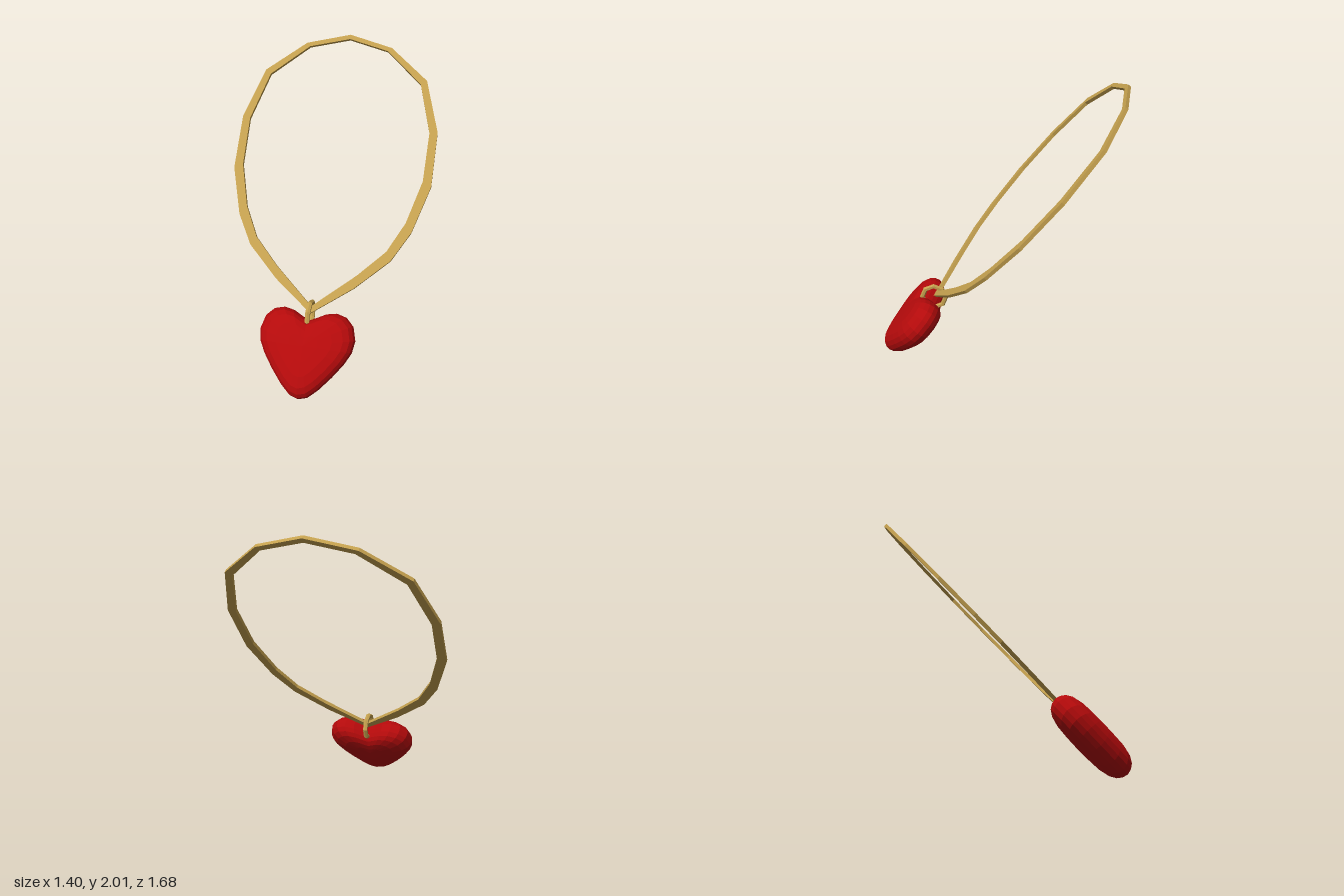
import * as THREE from 'three';

const TILT = 0.693; // lean of the necklace plane, radians

// Full closed counter-clockwise outline from its right half, given top to bottom (both ends on x = 0)
function mirrored(half) {
  const left = half.slice(1, -1).reverse().map(([x, y]) => [-x, y]);
  return [...half, ...left].reverse().map(([x, y]) => new THREE.Vector2(x, y));
}

// Rounded solid: the outline shrunk toward a centre at depths running back to front
function pillow(outline, cy, profile) {
  const n = outline.length, pos = [], idx = [];
  profile.forEach(([k, z]) => outline.forEach((p) => pos.push(p.x * k, cy + (p.y - cy) * k, z)));
  for (let r = 0; r < profile.length - 1; r++) {
    for (let i = 0; i < n; i++) {
      const a = r * n + i, b = r * n + (i + 1) % n;
      idx.push(a, b, a + n, b, b + n, a + n);
    }
  }
  const geo = new THREE.BufferGeometry();
  geo.setAttribute('position', new THREE.Float32BufferAttribute(pos, 3));
  geo.setIndex(idx);
  geo.computeVertexNormals();
  return geo;
}

export function createModel() {
  const gold = new THREE.MeshStandardMaterial({ color: 0xc4a04e, flatShading: true });
  gold.name = 'gold';
  const red = new THREE.MeshStandardMaterial({ color: 0xb40a0b, flatShading: true });
  red.name = 'red';

  const model = new THREE.Group();
  model.name = 'necklace';
  const add = (parent, name, geo, mat) => {
    const mesh = new THREE.Mesh(geo, mat);
    mesh.name = name;
    parent.add(mesh);
    return mesh;
  };

  // Everything but the ring lies in one leaning plane
  const plane = new THREE.Group();
  plane.name = 'leaningPlane';
  plane.rotation.x = -TILT;
  model.add(plane);

  // Chain: flat band, narrower toward the top; heights are stretched along the lean
  const lean = ([x, y]) => [x, (y - 0.408) / Math.cos(TILT)];
  const outer = [[0, 1.995], [0.31, 1.932], [0.585, 1.757], [0.7, 1.475], [0.7, 1.178],
    [0.605, 0.925], [0.49, 0.766], [0.27, 0.603], [0, 0.448]].map(lean);
  const inner = [[0, 1.969], [0.285, 1.912], [0.545, 1.734], [0.645, 1.467], [0.64, 1.202],
    [0.56, 0.972], [0.455, 0.812], [0.28, 0.672], [0, 0.484]].map(lean);
  const band = new THREE.Shape(mirrored(outer));
  band.holes.push(new THREE.Path(mirrored(inner)));
  const chainGeo = new THREE.ExtrudeGeometry(band, { depth: 0.024, bevelEnabled: false });
  chainGeo.translate(0, 0, 0.627);
  add(plane, 'chain', chainGeo, gold);

  // Heart pendant: notched outline, swelling toward the middle
  const heart = mirrored([[0, 0.005], [0.05, 0.028], [0.11, 0.06], [0.18, 0.074], [0.25, 0.055],
    [0.302, 0.002], [0.327, -0.09], [0.314, -0.17], [0.272, -0.25], [0.204, -0.345], [0.124, -0.44],
    [0.06, -0.497], [0, -0.515]]);
  const front = [[0.975, 0.034], [0.91, 0.064], [0.79, 0.088], [0.58, 0.105], [0.3, 0.111], [0, 0.113]];
  const back = front.map(([k, z]) => [k, -z]).reverse();
  const heartGeo = pillow(heart, -0.17, [...back, [1, 0], ...front]);
  heartGeo.translate(0, 0, 0.635);
  add(plane, 'heartPendant', heartGeo, red);

  // Ring joining chain and heart
  const ring = add(model, 'ring', new THREE.TorusGeometry(0.085, 0.018, 6, 8), gold);
  ring.rotation.y = Math.PI / 2;
  ring.position.set(0, 0.445, 0.465);

  return model;
}
